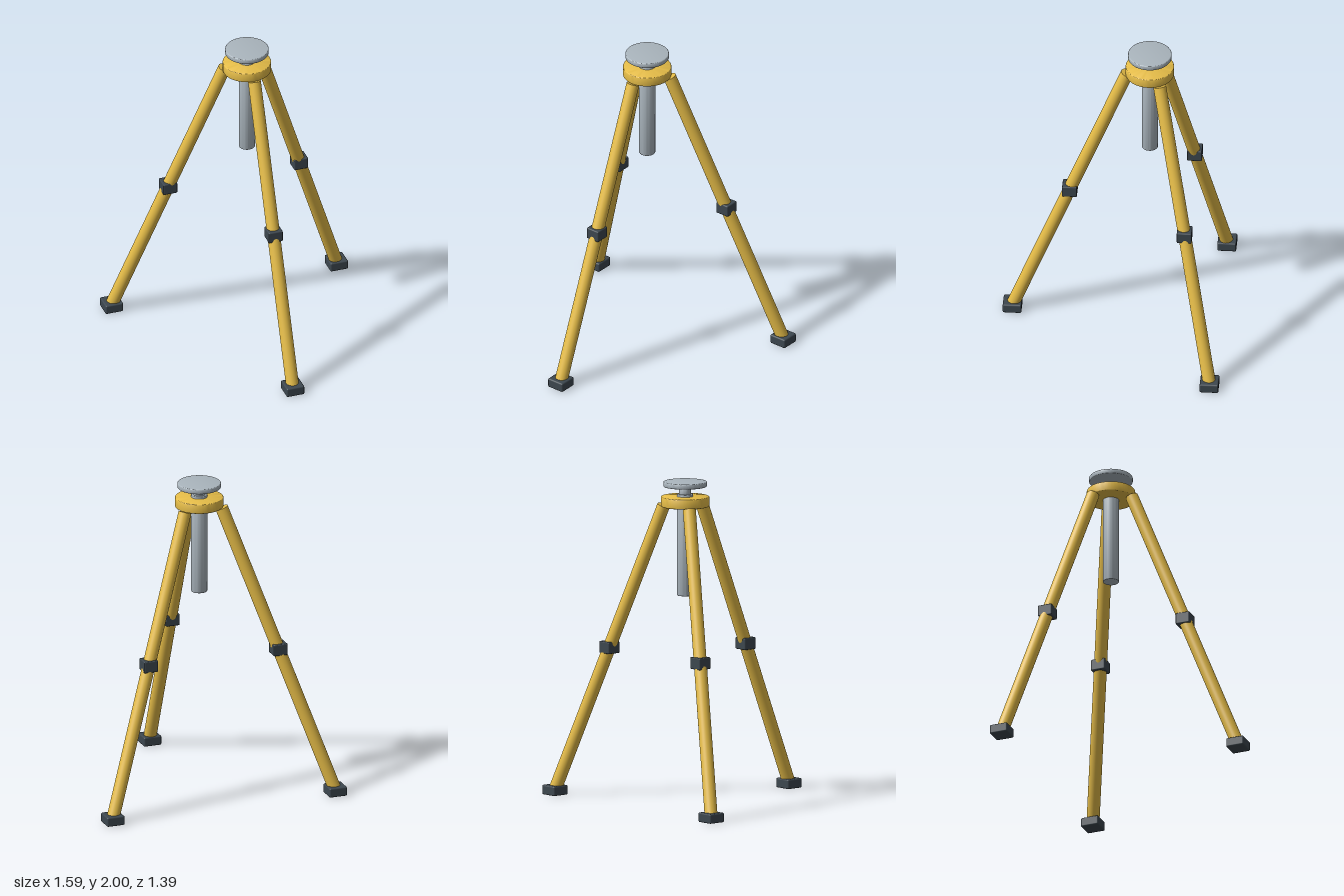
import * as THREE from 'three';
import { toCreasedNormals } from 'three/addons/utils/BufferGeometryUtils.js';
import { RoundedBoxGeometry } from 'three/addons/geometries/RoundedBoxGeometry.js';

const yellow = new THREE.MeshStandardMaterial({ color: 0xe6bd48 });
const steel = new THREE.MeshStandardMaterial({ color: 0xaab5bd });
const rubber = new THREE.MeshStandardMaterial({ color: 0x3d474f });

function part(parent, name, geometry, material, x = 0, y = 0, z = 0) {
  const mesh = new THREE.Mesh(geometry, material);
  mesh.name = name;
  mesh.position.set(x, y, z);
  parent.add(mesh);
  return mesh;
}

// Solid disc or post from y0 to y1 with softened rims
function disc(r, y0, y1, bevel) {
  const pts = [new THREE.Vector2(0, y0)];
  const steps = 4;
  for (let i = 0; i <= steps; i++) {
    const a = (i / steps) * Math.PI / 2;
    pts.push(new THREE.Vector2(r - bevel + bevel * Math.sin(a), y0 + bevel - bevel * Math.cos(a)));
  }
  for (let i = 0; i <= steps; i++) {
    const a = (i / steps) * Math.PI / 2;
    pts.push(new THREE.Vector2(r - bevel + bevel * Math.cos(a), y1 - bevel + bevel * Math.sin(a)));
  }
  pts.push(new THREE.Vector2(0, y1));
  return toCreasedNormals(new THREE.LatheGeometry(pts, 48), 0.6);
}

export function createModel() {
  const model = new THREE.Group();
  model.name = 'tripod';

  // Everything is arranged around the column axis
  const tripod = new THREE.Group();
  tripod.name = 'tripodAssembly';
  tripod.position.z = -0.2125;
  model.add(tripod);

  // Head and centre column
  part(tripod, 'headDisc', disc(0.15, 1.845, 1.907, 0.006), yellow);
  part(tripod, 'centreColumn', disc(0.05, 1.288, 1.922, 0.004), steel);
  part(tripod, 'mountingStud', disc(0.037, 1.91, 1.955, 0.004), steel);
  part(tripod, 'topPlate', disc(0.135, 1.968, 2.0, 0.006), steel);

  // Three splayed legs; collars and feet stay square to the axes
  const up = new THREE.Vector3(0, 1, 0);
  ['front', 'backLeft', 'backRight'].forEach((side, i) => {
    const a = i * Math.PI * 2 / 3;
    const at = (r, y) => new THREE.Vector3(Math.sin(a) * r, y, Math.cos(a) * r);
    const top = at(0.14, 1.843);
    const bottom = at(0.85, 0.03);
    const mid = top.clone().lerp(bottom, 0.5);
    const dir = top.clone().sub(bottom);

    const leg = new THREE.Group();
    leg.name = side + 'Leg';
    tripod.add(leg);

    const tube = part(leg, side + 'Tube',
      new THREE.CylinderGeometry(0.04, 0.04, dir.length(), 32), yellow, mid.x, mid.y, mid.z);
    tube.quaternion.setFromUnitVectors(up, dir.normalize());

    part(leg, side + 'Collar', new RoundedBoxGeometry(0.092, 0.074, 0.092, 2, 0.007), rubber, mid.x, 0.94, mid.z);
    part(leg, side + 'Foot', new RoundedBoxGeometry(0.116, 0.06, 0.116, 2, 0.009), rubber, bottom.x, 0.03, bottom.z);
  });

  return model;
}
